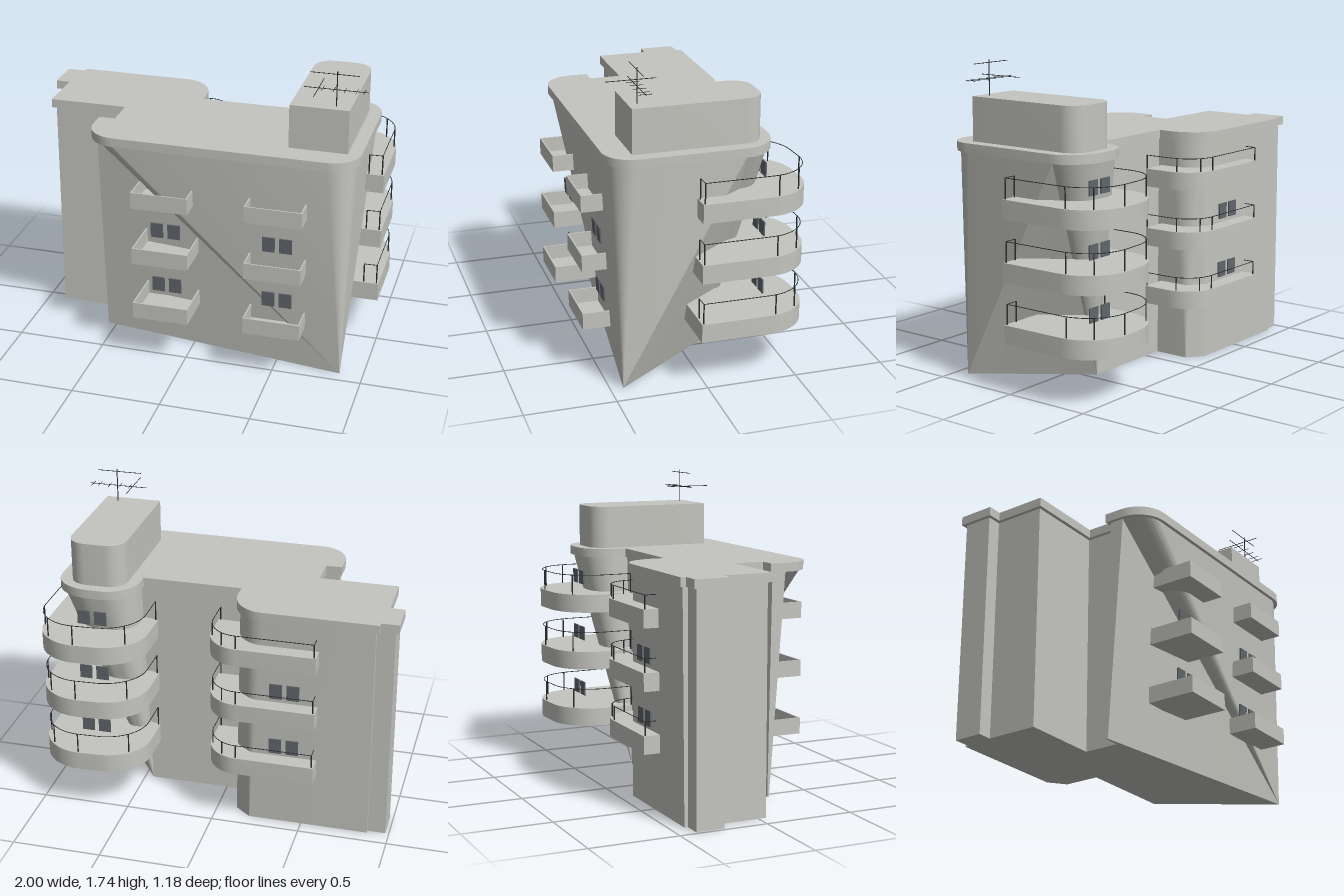
import * as THREE from 'three';
import { mergeGeometries, toCreasedNormals } from 'three/addons/utils/BufferGeometryUtils.js';

const plaster = new THREE.MeshStandardMaterial({ name: 'grey plaster', color: 0xc4c5bf });
const glass = new THREE.MeshStandardMaterial({ name: 'dark glass', color: 0x61666b });
const metal = new THREE.MeshStandardMaterial({ name: 'dark metal', color: 0x2b2e31 });

const ROOF = 1.255;
const PI = Math.PI;

function add(parent, name, geometry, material) {
  const mesh = new THREE.Mesh(geometry, material);
  mesh.name = name;
  parent.add(mesh);
  return mesh;
}

// Plan points [x, z] along an elliptical arc
function arc(cx, cz, rx, rz, a0, a1, n = 10) {
  return Array.from({ length: n + 1 }, (_, i) => {
    const a = a0 + (a1 - a0) * i / n;
    return [cx + rx * Math.cos(a), cz + rz * Math.sin(a)];
  });
}

// Plan extruded upwards from y0 to y1
function slab(plan, y0, y1) {
  const shape = new THREE.Shape(plan.map(([x, z]) => new THREE.Vector2(x, -z)));
  const g = new THREE.ExtrudeGeometry(shape, { depth: y1 - y0, bevelEnabled: false });
  g.rotateX(-PI / 2).translate(0, y0, 0);
  return toCreasedNormals(g, 0.5);
}

function box(x0, x1, y0, y1, z0, z1) {
  return new THREE.BoxGeometry(x1 - x0, y1 - y0, z1 - z0)
    .translate((x0 + x1) / 2, (y0 + y1) / 2, (z0 + z1) / 2);
}

// Thin round bar between two points
function bar(a, b, r) {
  const p = new THREE.Vector3(...a), d = new THREE.Vector3(...b).sub(p);
  const q = new THREE.Quaternion().setFromUnitVectors(new THREE.Vector3(0, 1, 0), d.clone().normalize());
  const mid = p.addScaledVector(d, 0.5);
  return new THREE.CylinderGeometry(r, r, d.length(), 5)
    .applyQuaternion(q).translate(mid.x, mid.y, mid.z);
}

// Plan at roof level in named runs, grown outwards by o
function roofPlan(o) {
  return {
    frontLeft: arc(-0.4, 0.34, 0.15 + o, 0.15 + o, PI, PI / 2),
    frontRight: arc(0.77, 0.355, 0.137 + o, 0.135 + o, PI / 2, 0),
    tower: [
      ...arc(0.72, -0.23, 0.187 + o, 0.16 + o, 0, -PI / 2),
      ...arc(0.65, -0.23, 0.16 + o, 0.16 + o, -PI / 2, -PI)],
    court: [[0.49 - o, -0.155 - o], [-0.11 + o, -0.155 - o]],
    wingCorner: arc(-0.27, -0.25, 0.16 + o, 0.18 + o, 0, -PI / 2),
    left: [
      [-0.88 - o, -0.43 - o], [-0.88 - o, -0.4 - o], [-0.98 - o, -0.4 - o],
      [-0.98 - o, -0.24 + o], [-0.9 - o, -0.24 + o], [-0.9 - o, 0.045 + o],
      [-0.46 - o, 0.045 + o], [-0.46 - o, 0.26 - o], [-0.55 - o, 0.26 - o]],
  };
}

// Walls: each roof point is joined to a foot point, so round corners taper to sharp feet
function wallGeometry() {
  const plan = roofPlan(0);
  const frontFoot = [0.87, 0.43], towerFoot = [0.45, -0.15];
  const pairs = [[plan.frontLeft[0], [-0.55, 0.25]]];
  const join = (run, foot) => run.forEach((p, i) => pairs.push([p, foot(p, i)]));
  join(plan.frontLeft, () => frontFoot);
  join(plan.frontRight, () => frontFoot);
  pairs.push([plan.tower[0], frontFoot]);
  join(plan.tower, () => towerFoot);
  join(plan.court, (p, i) => (i ? [-0.11, -0.15] : towerFoot));
  join(plan.wingCorner, (p, i) => (i < 6 ? [-0.11, -0.35] : [-0.2, -0.42]));
  join(plan.left, ([x, z]) => [x, Math.min(Math.max(z, -0.42), 0.24)]);

  const pos = [];
  const tri = (a, b, c) => {
    const area = b.clone().sub(a).cross(c.clone().sub(a)).length();
    if (area > 1e-7) [a, b, c].forEach((v) => pos.push(v.x, v.y, v.z));
  };
  pairs.forEach(([t0, b0], i) => {
    const [t1, b1] = pairs[(i + 1) % pairs.length];
    const T0 = new THREE.Vector3(t0[0], ROOF, t0[1]), T1 = new THREE.Vector3(t1[0], ROOF, t1[1]);
    const B0 = new THREE.Vector3(b0[0], 0, b0[1]), B1 = new THREE.Vector3(b1[0], 0, b1[1]);
    tri(B0, B1, T1);
    tri(B0, T1, T0);
  });
  // Underside
  const feet = pairs.map((p) => p[1])
    .filter((p, i, all) => !i || Math.hypot(p[0] - all[i - 1][0], p[1] - all[i - 1][1]) > 1e-4)
    .map(([x, z]) => new THREE.Vector2(x, -z));
  const V = (p) => new THREE.Vector3(p.x, 0, -p.y);
  THREE.ShapeUtils.triangulateShape(feet, [])
    .forEach(([a, b, c]) => tri(V(feet[a]), V(feet[c]), V(feet[b])));

  const g = new THREE.BufferGeometry();
  g.setAttribute('position', new THREE.Float32BufferAttribute(pos, 3));
  return toCreasedNormals(g, 0.18);
}

// Handrail along a plan path, with posts at the listed path indices
function railing(path, y0, y1, posts) {
  const parts = [];
  for (let i = 1; i < path.length; i++) {
    const [a, b] = [path[i - 1], path[i]];
    parts.push(bar([a[0], y1, a[1]], [b[0], y1, b[1]], 0.0022));
  }
  posts.forEach((i) => parts.push(bar([path[i][0], y0, path[i][1]], [path[i][0], y1, path[i][1]], 0.004)));
  return mergeGeometries(parts);
}

// Two panes side by side, leaning with the wall
function windowPair(parent, x, y, z, lean, h = 0.087) {
  for (const s of [-1, 1]) {
    const pane = add(parent, 'windowPane', new THREE.BoxGeometry(0.07, h, 0.008), glass);
    pane.position.set(x + s * 0.048, y, z);
    pane.rotation.x = lean;
  }
}

export function createModel() {
  const model = new THREE.Group();
  model.name = 'apartmentBuilding';

  add(model, 'walls', wallGeometry(), plaster);
  add(model, 'roofSlab', slab(Object.values(roofPlan(0.02)).flat(), ROOF, 1.305), plaster);

  // Roof house with a rounded back
  const house = [
    [0.535, 0.37], [0.855, 0.37],
    ...arc(0.755, -0.24, 0.1, 0.105, 0, -PI / 2),
    ...arc(0.635, -0.24, 0.1, 0.105, -PI / 2, -PI)];
  add(model, 'roofHouse', slab(house, 1.3, 1.548), plaster);

  // Front balconies: open trays reaching back to the leaning wall
  for (const x of [-0.12, 0.51]) {
    for (const y of [0.27, 0.608, 0.945]) {
      const [l, r, t] = [x - 0.158, x + 0.158, y + 0.093];
      const back = x < 0 ? 0.32 : 0.43;
      add(model, 'frontBalcony', mergeGeometries([
        box(l, r, y, y + 0.01, back, 0.595),
        box(l, r, y, t, 0.587, 0.595),
        box(l, l + 0.008, y, t, back, 0.595),
        box(r - 0.008, r, y, t, back, 0.595)]), plaster);
    }
  }
  for (const y of [0.425, 0.768]) {
    for (const x of [-0.122, 0.508]) windowPair(model, x, y, 0.434 + 0.0476 * y, 0.047);
    windowPair(model, -0.395, y + 0.065, -0.428 - 0.008 * y, 0.008);
  }

  // Tower and wing balconies at the back
  const towerCurve = (o) => [
    [1 - o, 0.035 - o],
    ...arc(0.755, -0.35, 0.245 - o, 0.24 - o, 0, -PI / 2, 12),
    ...arc(0.65, -0.35, 0.255 - o, 0.235 - o, -PI / 2, -PI, 12),
    [0.395 + o, -0.17]];
  const wingCurve = (o) => [
    [0.04 - o, -0.175],
    ...arc(-0.14, -0.33, 0.18 - o, 0.185 - o, 0, -PI / 2, 12),
    [-0.58 + o, -0.515 + o]];
  for (let i = 0; i < 3; i++) {
    const y = 0.27 + i * 0.3375;
    add(model, 'towerBalcony', slab([...towerCurve(0), [0.45, -0.15], [0.7, 0.035]], y, y + 0.105), plaster);
    add(model, 'towerRailing', railing([[0.915, 0.025], ...towerCurve(0.012)], y + 0.1, y + 0.218,
      [0, 1, 3, 8, 14, 21, 28]), metal);
    windowPair(model, 0.71, y + 0.178, -0.378, 0, 0.08);

    const w = y + 0.057;
    add(model, 'wingBalcony', slab([...wingCurve(0), [-0.58, -0.41], [-0.2, -0.4], [-0.12, -0.175]], w, w + 0.1), plaster);
    add(model, 'wingRailing', railing([...wingCurve(0.012), [-0.568, -0.44]], w + 0.095, w + 0.175,
      [0, 3, 9, 13, 14]), metal);
  }

  // Aerial: mast, two booms and cross rods
  const rods = [
    bar([0.775, 1.54, 0.32], [0.775, 1.74, 0.32], 0.003),
    bar([0.63, 1.725, 0.32], [0.89, 1.725, 0.32], 0.002),
    bar([0.6, 1.64, 0.32], [0.94, 1.64, 0.32], 0.002),
    bar([0.68, 1.645, 0.19], [0.68, 1.645, 0.46], 0.002)];
  for (const x of [0.7, 0.76, 0.82, 0.88, 0.92]) {
    rods.push(bar([x, 1.64, 0.285], [x, 1.64, 0.355], 0.0015));
  }
  add(model, 'aerial', mergeGeometries(rods), metal);

  return model;
}
